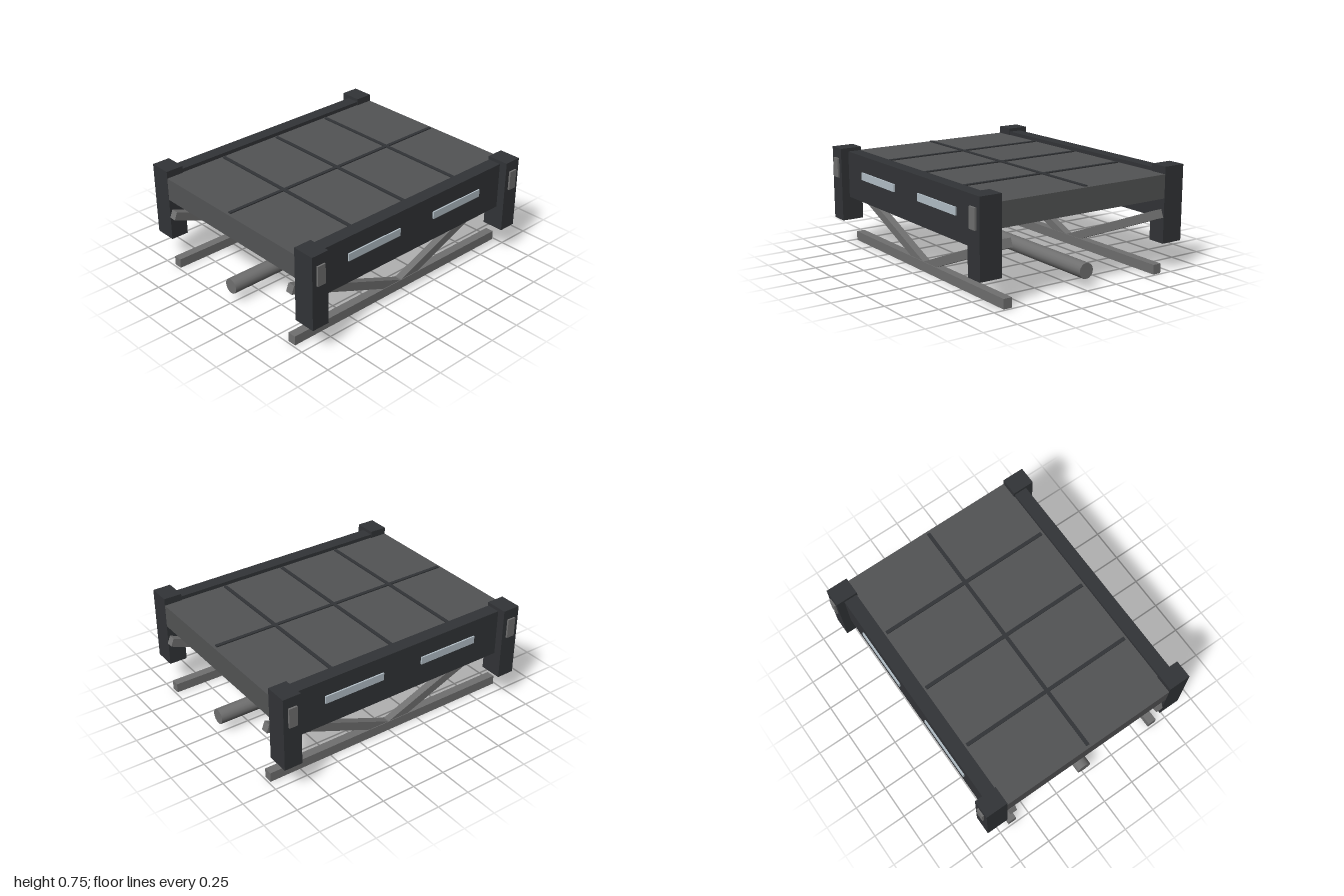
import * as THREE from 'three';

const material = (color) => new THREE.MeshStandardMaterial({ color });

export function createModel() {
  const model = new THREE.Group();
  const dark = material(0x323437);
  const deckGrey = material(0x535455);
  const steel = material(0x707070);
  const glass = material(0xb4c0c8);

  // Box given by its centre and size
  const box = (name, mat, [x, y, z], [w, h, d]) => {
    const mesh = new THREE.Mesh(new THREE.BoxGeometry(w, h, d), mat);
    mesh.name = name;
    mesh.position.set(x, y, z);
    model.add(mesh);
    return mesh;
  };

  // Deck slab with raised panel seams
  box('deck', deckGrey, [0, 0.617, 0], [1.97, 0.17, 1.38]);
  for (const x of [-0.495, 0, 0.495]) {
    box('crossSeam', dark, [x, 0.7, 0], [0.026, 0.02, 1.335]);
  }
  box('longSeam', dark, [0, 0.7, 0], [1.93, 0.02, 0.026]);

  // Central pipe under the deck
  const pipe = new THREE.Mesh(new THREE.CylinderGeometry(0.056, 0.056, 1.97, 16), steel);
  pipe.name = 'pipe';
  pipe.rotation.z = Math.PI / 2;
  pipe.position.set(0, 0.135, 0);
  model.add(pipe);

  // Front and back sides
  for (const sz of [1, -1]) {
    box('sideWall', dark, [0, 0.557, sz * 0.735], [1.72, 0.345, 0.1]);
    box('lowerChord', steel, [0, 0.035, sz * 0.634], [1.97, 0.07, 0.064]);

    for (const sx of [1, -1]) {
      box('window', glass, [sx * 0.395, 0.582, sz * 0.784], [0.47, 0.055, 0.024]);
      box('cornerPost', dark, [sx * 0.918, 0.482, sz * 0.762], [0.135, 0.545, 0.166]);
      box('postPlate', steel, [sx * 0.918, 0.607, sz * 0.844], [0.064, 0.145, 0.03]);

      // Diagonal brace rising from the chord's middle to the deck's end
      const rise = 0.395, run = 0.988;
      const brace = box('brace', steel, [sx * run / 2, 0.035 + rise / 2, sz * 0.634],
        [Math.hypot(run, rise), 0.062, 0.055]);
      brace.rotation.z = sx * Math.atan2(rise, run);
    }
  }
  return model;
}
